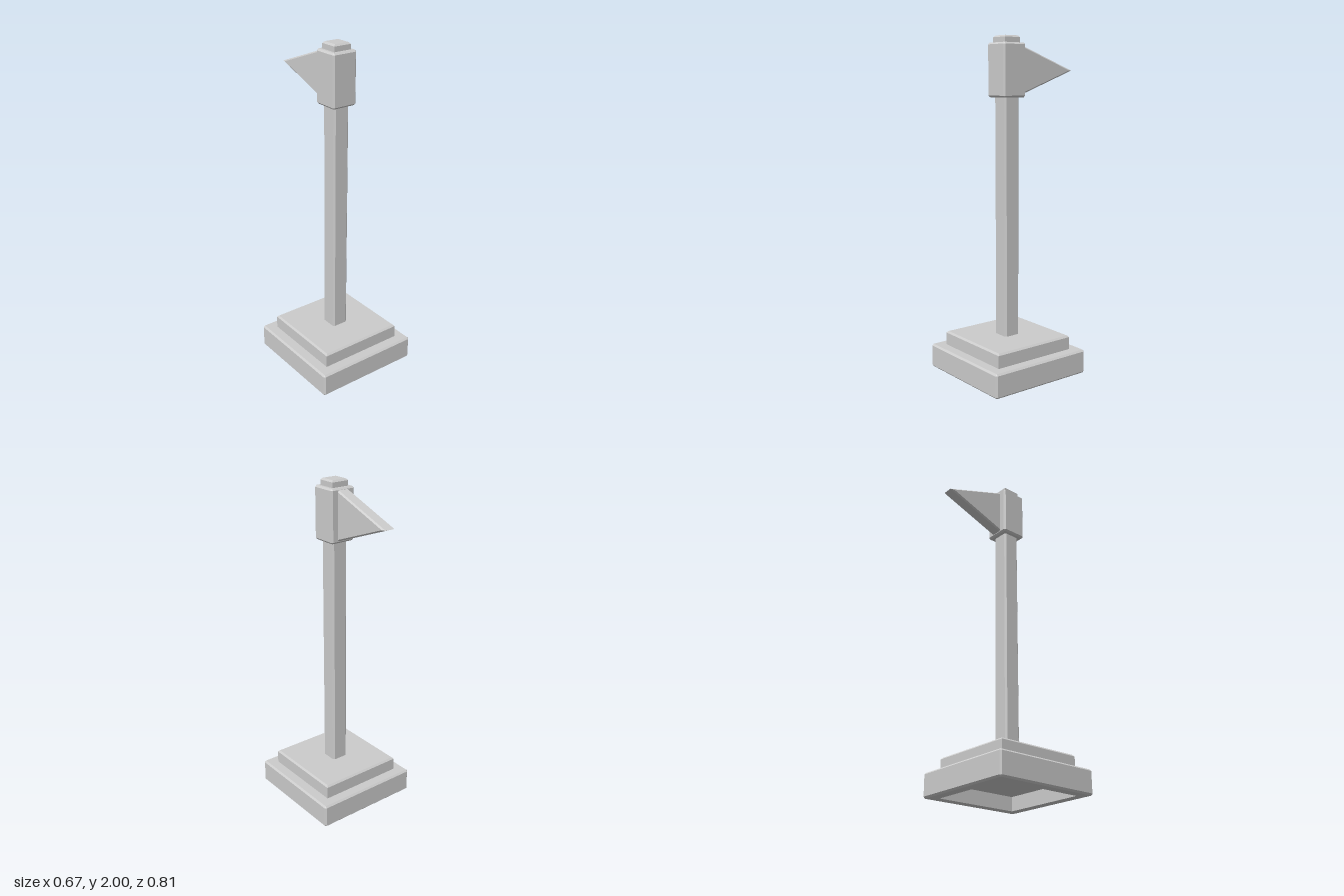
import * as THREE from 'three';
import { ConvexGeometry } from 'three/addons/geometries/ConvexGeometry.js';

const material = new THREE.MeshStandardMaterial({ color: 0xcccccc, flatShading: true });
const AXIS_Z = 0.068; // depth of the centre line shared by base, pole and head

// Square outline with half width h and corners cut by k, counter-clockwise from above
function outline([y, h, k]) {
  const i = h - k;
  return [[h, i], [h, -i], [i, -h], [-i, -h], [-h, -i], [-h, i], [-i, h], [i, h]]
    .map(([x, z]) => new THREE.Vector3(x, y, z));
}

// Skin through square layers [y, halfWidth, cornerCut], capped at both ends
function loft(layers) {
  const rings = layers.map(outline);
  const points = [];
  const tri = (a, b, c) => {
    if (new THREE.Triangle(a, b, c).getArea() > 1e-8) points.push(a, b, c);
  };
  for (let r = 0; r < rings.length - 1; r++) {
    const lo = rings[r], hi = rings[r + 1];
    for (let i = 0; i < 8; i++) {
      const j = (i + 1) % 8;
      tri(lo[i], lo[j], hi[j]);
      tri(lo[i], hi[j], hi[i]);
    }
  }
  const first = rings[0], last = rings[rings.length - 1];
  for (let i = 1; i < 7; i++) {
    tri(first[0], first[i + 1], first[i]);
    tri(last[0], last[i], last[i + 1]);
  }
  const geometry = new THREE.BufferGeometry().setFromPoints(points);
  geometry.computeVertexNormals();
  return geometry;
}

// Triangular vane pointing backwards, its side faces inset by a chamfer
function vaneGeometry() {
  const halfHeight = 0.145, length = 0.398, c = 0.008;
  const side = Math.hypot(halfHeight, length);
  const inradius = (halfHeight * length) / (halfHeight + side);
  const points = [];
  for (const [x, scale] of [[0.038, 1 - c / inradius], [0.03, 1]]) {
    for (const [y, z] of [[halfHeight, 0], [-halfHeight, 0], [0, -length]]) {
      const zz = -inradius + (z + inradius) * scale;
      points.push(new THREE.Vector3(x, y * scale, zz), new THREE.Vector3(-x, y * scale, zz));
    }
  }
  return new ConvexGeometry(points);
}

export function createModel() {
  const group = new THREE.Group();
  const add = (name, geometry, y = 0, z = AXIS_Z) => {
    const mesh = new THREE.Mesh(geometry, material);
    mesh.name = name;
    mesh.position.set(0, y, z);
    group.add(mesh);
  };

  // Base slab, chamfered all round, with a square recess underneath
  add('baseSlab', loft([
    [0.085, 0.266, 0], [0, 0.266, 0], [0, 0.323, 0],
    [0.01, 0.333, 0.01], [0.135, 0.333, 0.01], [0.145, 0.323, 0],
  ]));

  // Upper step, chamfered along its top edges only
  add('baseStep', loft([[0.14, 0.266, 0], [0.22, 0.266, 0], [0.23, 0.256, 0]]));

  // Pole with chamfered vertical edges
  add('pole', loft([[0.225, 0.052, 0.01], [1.66, 0.052, 0.01]]));

  // Head block and its cap
  add('head', loft([
    [1.65, 0.07, 0], [1.66, 0.08, 0.01], [1.95, 0.08, 0.01], [1.96, 0.07, 0],
  ]));
  add('cap', loft([[1.955, 0.055, 0], [1.99, 0.055, 0], [2, 0.045, 0]]));

  // Vane fixed to the back of the head
  add('vane', vaneGeometry(), 1.806, -0.006);

  return group;
}
